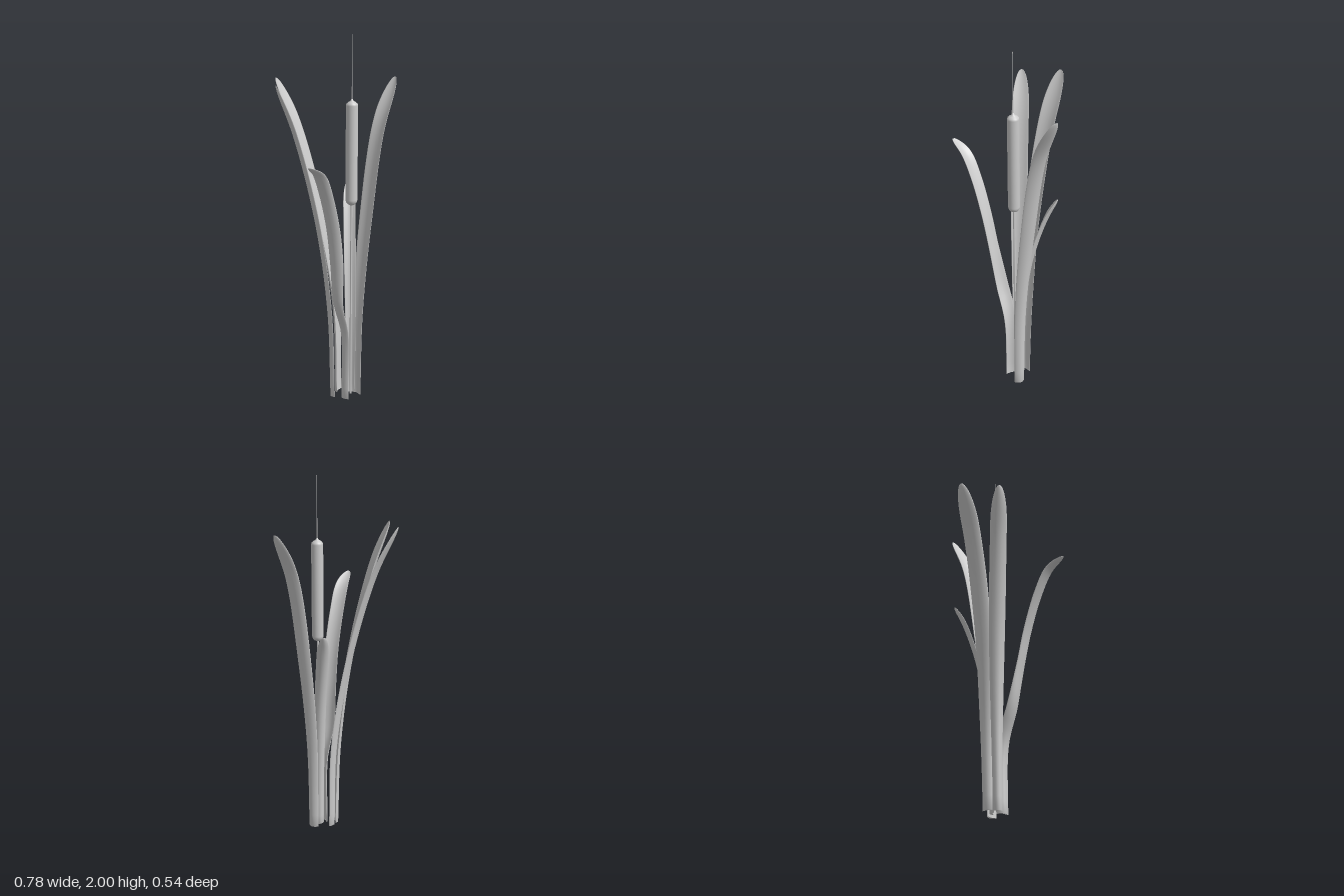
import * as THREE from 'three';

const SIDES = 16, ROWS = 40;

// Lofts a leaf along a path: crescent section, edges curling inward, rounded tip.
// from / to: horizontal direction the leaf leans toward at its base and its tip.
function leafGeometry({ path, width, base, from, to = from }) {
  const curve = new THREE.CatmullRomCurve3(path.map(p => new THREE.Vector3(...p)));
  const up = new THREE.Vector3(0, 1, 0);
  const pos = [], index = [];
  for (let i = 0; i <= ROWS; i++) {
    // rows crowd toward the tip so that it rounds off smoothly
    const k = Math.max(0, i - 1) / (ROWS - 1);
    const t = 1 - Math.pow(1 - k, 1.6);
    const p = curve.getPointAt(t), tangent = curve.getTangentAt(t);
    const lean = new THREE.Vector3(from[0], 0, from[1])
      .lerp(new THREE.Vector3(to[0], 0, to[1]), THREE.MathUtils.smoothstep(t, 0.25, 0.6));
    const side = new THREE.Vector3().crossVectors(up, lean);
    side.addScaledVector(tangent, -side.dot(tangent)).normalize();
    const inner = new THREE.Vector3().crossVectors(tangent, side);

    const grow = base + (width - base) * THREE.MathUtils.smoothstep(t, 0, 0.7);
    const tip = t > 0.88 ? Math.sqrt(Math.max(0, 1 - ((t - 0.88) / 0.12) ** 2)) : 1;
    const close = i === 0 ? 0 : 1;               // first row closes the foot
    const half = grow / 2 * tip * close;
    const thick = 0.006 * Math.max(tip, 0.02) * close;
    const curl = 0.016 * tip * close;
    for (let j = 0; j < SIDES; j++) {
      const a = j / SIDES * Math.PI * 2, c = Math.cos(a);
      const q = p.clone().addScaledVector(side, c * half)
        .addScaledVector(inner, Math.sin(a) * thick + curl * (c * c - 0.5));
      pos.push(q.x, q.y, q.z);
      if (i < ROWS) {
        const a0 = i * SIDES + j, a1 = i * SIDES + (j + 1) % SIDES;
        index.push(a0, a1, a0 + SIDES, a1, a1 + SIDES, a0 + SIDES);
      }
    }
  }
  const g = new THREE.BufferGeometry();
  g.setAttribute('position', new THREE.Float32BufferAttribute(pos, 3));
  g.setIndex(index);
  g.computeVertexNormals();
  return g;
}

const LEAVES = {
  leftLeaf: {
    path: [[0.085, 0, 0.143], [0.098, 0.5, 0.14], [0.16, 1, 0.135], [0.262, 1.5, 0.13], [0.388, 1.748, 0.125]],
    width: 0.095, base: 0.065, from: [1, 0],
  },
  tallBackLeaf: {
    path: [[0.018, 0.01, 0.058], [0.015, 0.5, 0.042], [-0.03, 1, -0.025], [-0.085, 1.5, -0.155], [-0.125, 1.755, -0.27]],
    width: 0.103, base: 0.066, from: [-0.36, -0.93],
  },
  rightBackLeaf: {
    path: [[-0.038, 0, 0.075], [-0.05, 0.5, 0.062], [-0.1, 1, 0.02], [-0.195, 1.5, -0.055], [-0.268, 1.745, -0.115]],
    width: 0.092, base: 0.05, from: [-0.78, -0.62],
  },
  shortLeaf: {
    path: [[0.052, 0.01, 0.122], [0.06, 0.4, 0.113], [0.092, 0.8, 0.075], [0.15, 1.08, 0.012], [0.192, 1.19, -0.03]],
    width: 0.066, base: 0.05, from: [0.68, -0.73],
  },
  bentLeaf: {
    path: [[-0.012, 0, 0.137], [-0.018, 0.38, 0.14], [-0.082, 0.57, 0.15], [-0.12, 0.8, 0.178],
      [-0.162, 1, 0.195], [-0.23, 1.2, 0.212], [-0.3, 1.33, 0.23], [-0.388, 1.388, 0.252]],
    width: 0.08, base: 0.068, from: [-0.96, -0.27], to: [-0.94, 0.33],
  },
};

export function createModel() {
  const model = new THREE.Group();
  model.name = 'cattail';
  const material = new THREE.MeshStandardMaterial({ color: 0xcccccc, side: THREE.DoubleSide });
  const add = (name, geometry, parent = model) => {
    const mesh = new THREE.Mesh(geometry, material);
    mesh.name = name;
    parent.add(mesh);
    return mesh;
  };

  for (const [name, spec] of Object.entries(LEAVES)) add(name, leafGeometry(spec));

  // Flower stalk: stem, velvety head and needle-thin spike
  const stalk = new THREE.Group();
  stalk.name = 'flowerStalk';
  stalk.position.set(0.034, 0, 0.14);
  model.add(stalk);

  add('stem', new THREE.CylinderGeometry(0.005, 0.006, 1.1, 12), stalk).position.y = 0.56;

  const head = [[0, 1.1], [0.012, 1.101], [0.022, 1.107], [0.029, 1.117], [0.032, 1.13],
    [0.032, 1.635], [0.029, 1.645], [0.02, 1.653], [0.009, 1.659], [0.004, 1.668], [0, 1.672]];
  add('flowerHead', new THREE.LatheGeometry(head.map(p => new THREE.Vector2(...p)), 28), stalk);

  add('spike', new THREE.CylinderGeometry(0.0014, 0.002, 0.34, 6), stalk).position.y = 1.83;

  return model;
}
